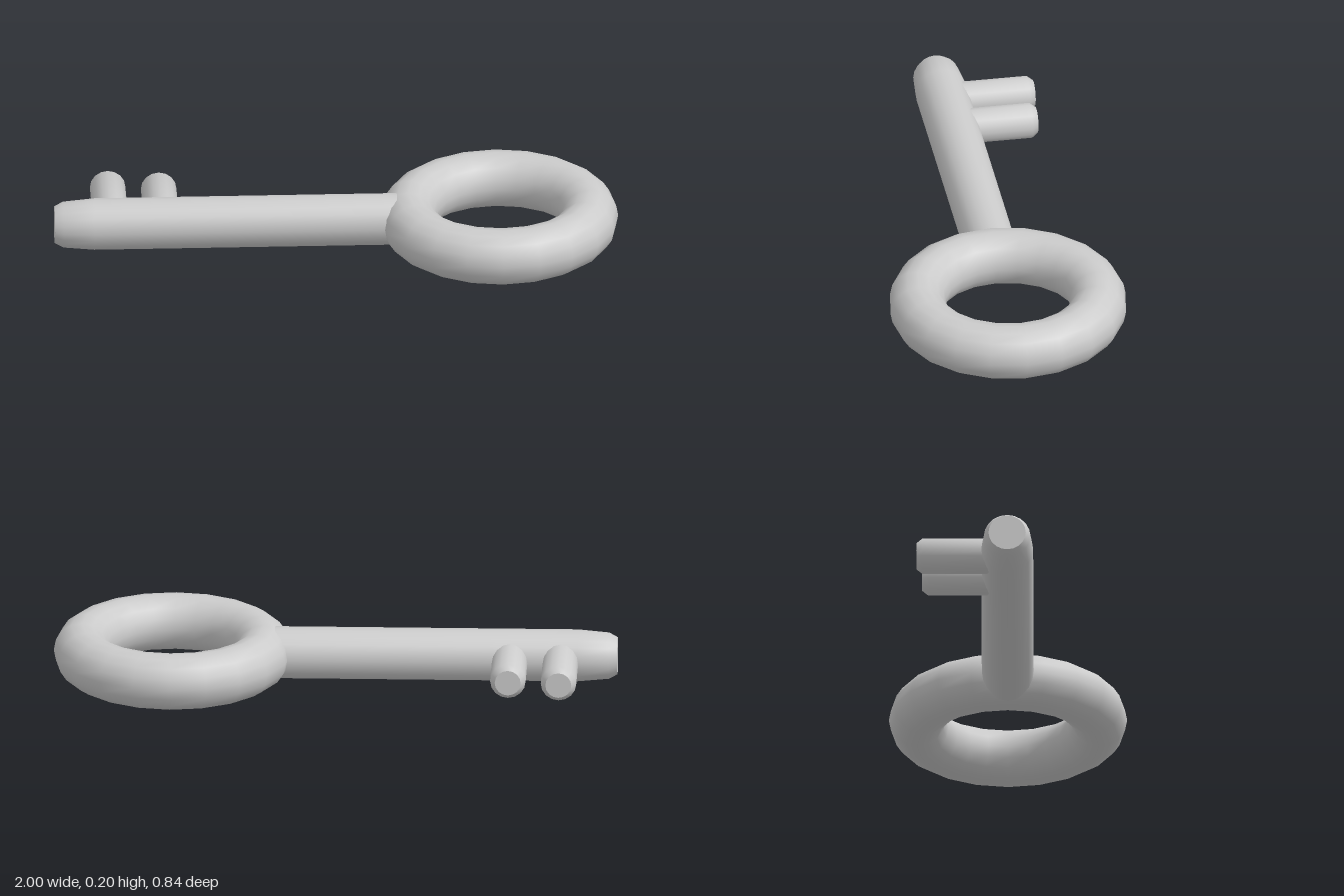
import * as THREE from 'three';
import { toCreasedNormals } from 'three/addons/utils/BufferGeometryUtils.js';

const MID = 0.1; // height of the key's centre plane

export function createModel() {
  const key = new THREE.Group();
  key.name = 'key';
  const material = new THREE.MeshStandardMaterial({ color: 0xcccccc });

  const addPart = (name, geometry, x, z = 0) => {
    const mesh = new THREE.Mesh(geometry, material);
    mesh.name = name;
    mesh.position.set(x, MID, z);
    key.add(mesh);
    return mesh;
  };

  // Round bar along +y from a profile of [radius, height], with a crisp end cap
  const roundBar = (profile, sides) =>
    toCreasedNormals(
      new THREE.LatheGeometry(profile.map(([r, h]) => new THREE.Vector2(r, h)), sides), 0.78);

  // Ring-shaped handle lying flat
  const ring = new THREE.TorusGeometry(0.322, 0.1, 16, 20);
  ring.rotateX(-Math.PI / 2);
  addPart('handleRing', ring, 0.575);

  // Shaft running to -x, tapering slightly at the tip
  const shaft = roundBar(
    [[0, 0], [0.092, 0], [0.092, 1.11], [0.082, 1.22], [0.066, 1.25], [0, 1.25]], 20);
  shaft.rotateZ(Math.PI / 2);
  addPart('shaft', shaft, 0.25);

  // Two teeth with bevelled ends, pointing back
  for (const [name, x, length] of [['outerTooth', -0.8, 0.322], ['innerTooth', -0.62, 0.302]]) {
    const tooth = roundBar(
      [[0, 0], [0.063, 0], [0.063, length - 0.022], [0.046, length], [0, length]], 16);
    tooth.rotateX(-Math.PI / 2);
    addPart(name, tooth, x);
  }

  return key;
}
